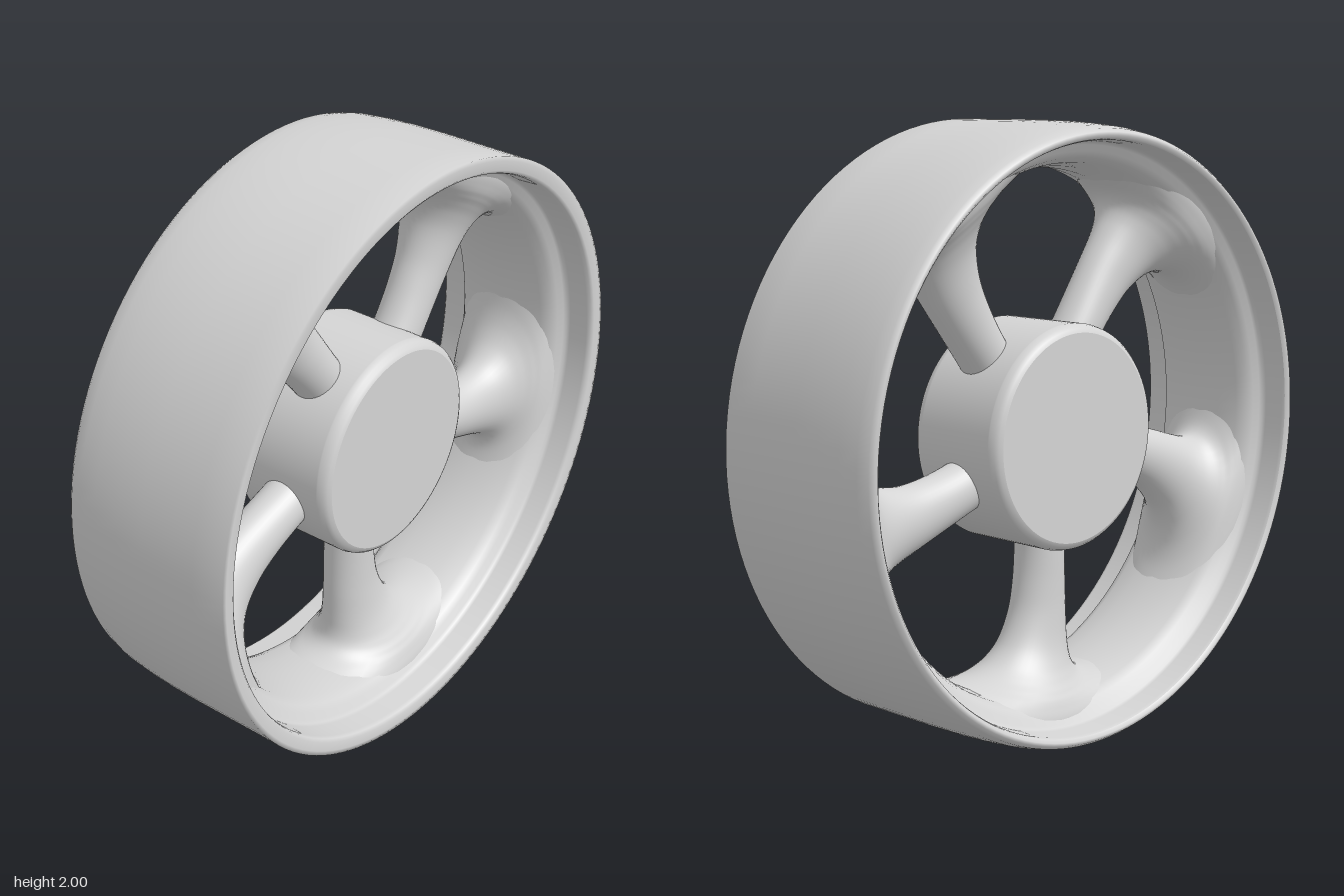
import * as THREE from 'three';

const SPOKES = 5;

// Spin a [radius, x] profile about the x axis
function spin(profile, name, material, segments = 96) {
  const points = profile.map(([r, x]) => new THREE.Vector2(r, x));
  const geometry = new THREE.LatheGeometry(points, segments);
  geometry.rotateZ(-Math.PI / 2);
  const mesh = new THREE.Mesh(geometry, material);
  mesh.name = name;
  return mesh;
}

// Swept spoke pointing down: oval sections that flare into the rim
function spokeGeometry() {
  // radius, leading edge, trailing edge, half depth
  const stations = [
    [0.30, 0.110, -0.060, 0.082],
    [0.40, 0.112, -0.060, 0.082],
    [0.50, 0.116, -0.070, 0.082],
    [0.60, 0.120, -0.092, 0.086],
    [0.70, 0.122, -0.140, 0.100],
    [0.76, 0.127, -0.195, 0.122],
    [0.80, 0.143, -0.255, 0.146],
    [0.83, 0.180, -0.325, 0.168],
    [0.855, 0.255, -0.415, 0.184],
    [0.88, 0.360, -0.520, 0.194],
    [0.91, 0.470, -0.620, 0.203],
    [0.94, 0.560, -0.700, 0.206],
  ];
  const edges = new THREE.CatmullRomCurve3(stations.map(([r, a, b]) => new THREE.Vector3(r, a, b)));
  const depths = new THREE.CatmullRomCurve3(stations.map(([r, , , h]) => new THREE.Vector3(r, h, 0)));
  const rings = 55, sides = 40;
  const position = [], index = [];
  for (let i = 0; i <= rings; i++) {
    const { x: r, y: lead, z: trail } = edges.getPoint(i / rings);
    const depth = depths.getPoint(i / rings).y;
    for (let j = 0; j < sides; j++) {
      const phi = (j / sides) * Math.PI * 2;
      const angle = ((lead + trail) / 2 + ((lead - trail) / 2) * Math.cos(phi)) / r;
      position.push(-depth * Math.sin(phi), -r * Math.cos(angle), r * Math.sin(angle));
      if (i === rings) continue;
      const a = i * sides + j, b = i * sides + (j + 1) % sides;
      index.push(a, b, a + sides, b, b + sides, a + sides);
    }
  }
  const geometry = new THREE.BufferGeometry();
  geometry.setAttribute('position', new THREE.Float32BufferAttribute(position, 3));
  geometry.setIndex(index);
  geometry.computeVertexNormals();
  return geometry;
}

export function createModel() {
  const model = new THREE.Group();
  model.name = 'wheel';
  const grey = new THREE.MeshStandardMaterial({ color: 0xd4d4d4 });
  grey.name = 'lightGrey';

  const wheel = new THREE.Group();
  wheel.name = 'wheelBody';
  wheel.position.y = 1;
  model.add(wheel);

  // Rim: rounded on one side, square on the other, stepped barrel inside
  wheel.add(spin([
    [0.945, -0.306], [0.955, -0.316], [0.966, -0.314], [0.977, -0.3], [0.986, -0.26],
    [0.993, -0.19], [0.998, -0.1], [1, 0], [1, 0.2], [1, 0.316],
    [0.985, 0.316], [0.955, 0.316], [0.945, 0.308], [0.941, 0.295], [0.938, 0.23],
    [0.934, 0.218], [0.925, 0.21], [0.905, 0.198], [0.885, 0.182], [0.869, 0.15],
    [0.856, 0.08], [0.85, 0],
    [0.856, -0.08], [0.869, -0.15], [0.885, -0.182], [0.905, -0.198], [0.925, -0.21],
    [0.934, -0.218], [0.938, -0.23], [0.941, -0.295], [0.945, -0.306],
  ], 'rim', grey, 128));

  // Hub: closed drum with soft edges
  wheel.add(spin([
    [0.338, -0.196], [0.351, -0.19], [0.361, -0.178], [0.366, -0.16], [0.366, -0.155],
    [0.366, 0.14], [0.366, 0.145], [0.361, 0.163], [0.351, 0.175], [0.338, 0.181],
  ], 'hub', grey));
  for (const [side, x] of [[1, 0.181], [-1, -0.196]]) {
    const cap = new THREE.Mesh(new THREE.CircleGeometry(0.338, 96), grey);
    cap.name = 'hubFace';
    cap.position.x = x;
    cap.rotation.y = side * Math.PI / 2;
    wheel.add(cap);
  }

  // Spokes
  const geometry = spokeGeometry();
  for (let i = 0; i < SPOKES; i++) {
    const spoke = new THREE.Mesh(geometry, grey);
    spoke.name = 'spoke';
    spoke.rotation.x = (i / SPOKES) * Math.PI * 2;
    wheel.add(spoke);
  }
  return model;
}
